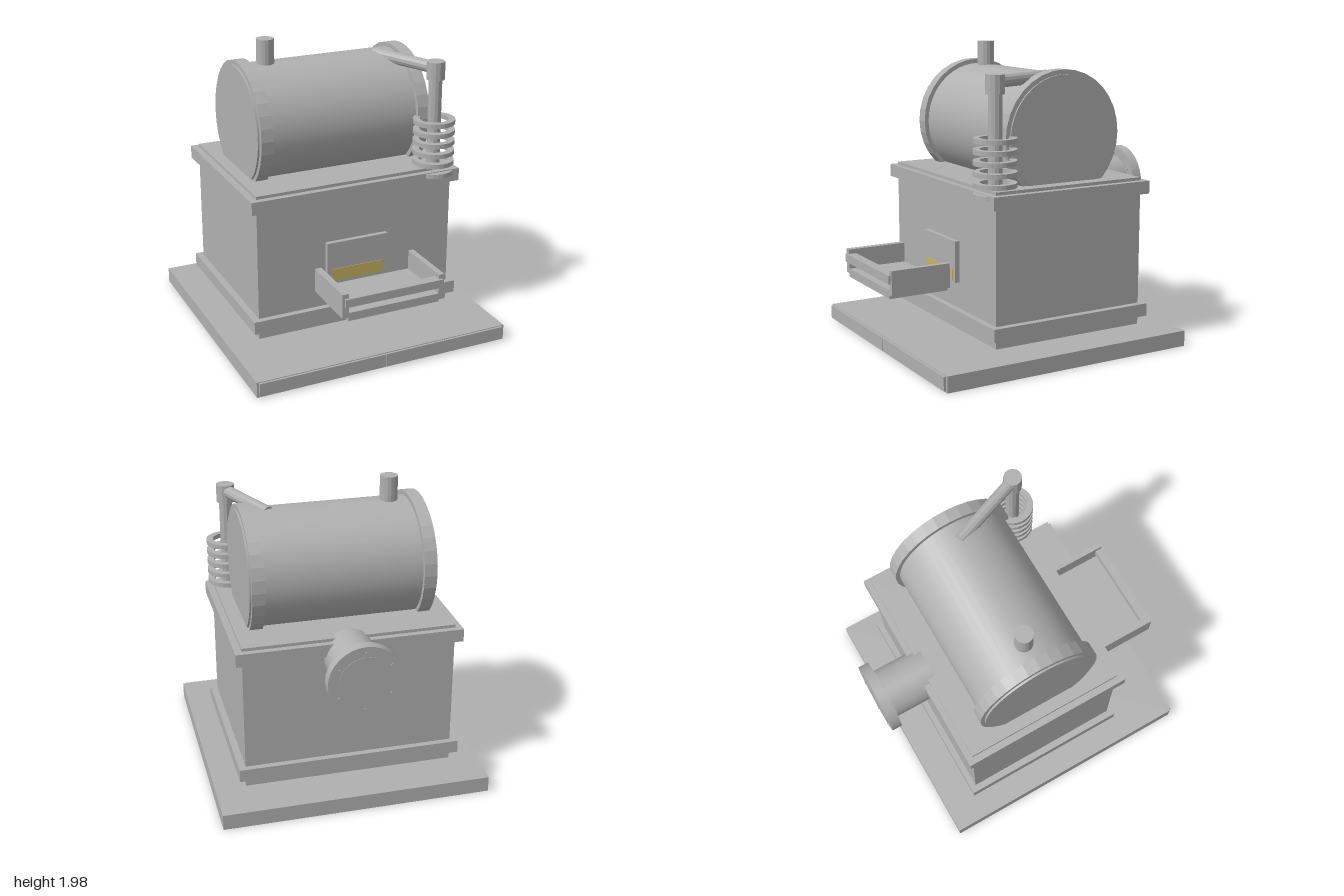
import * as THREE from 'three';

const steel = new THREE.MeshStandardMaterial({ color: 0xb0b0b0 });
steel.name = 'steel grey';
const ember = new THREE.MeshStandardMaterial({ color: 0xc9b45c });
ember.name = 'ember yellow';

export function createModel() {
  const model = new THREE.Group();
  model.name = 'boilerStill';

  function add(name, geometry, material = steel) {
    const mesh = new THREE.Mesh(geometry, material);
    mesh.name = name;
    model.add(mesh);
    return mesh;
  }

  // Box given by its minimum and maximum corners
  function box(name, [x0, y0, z0], [x1, y1, z1], material) {
    const mesh = add(name, new THREE.BoxGeometry(x1 - x0, y1 - y0, z1 - z0), material);
    mesh.position.set((x0 + x1) / 2, (y0 + y1) / 2, (z0 + z1) / 2);
    return mesh;
  }

  // Cylinder running between two points, faceted if flat
  function rod(name, from, to, radius, sides, flat = false) {
    const a = new THREE.Vector3(...from), b = new THREE.Vector3(...to);
    const dir = b.clone().sub(a);
    let geometry = new THREE.CylinderGeometry(radius, radius, dir.length(), sides);
    if (flat) {
      geometry = geometry.toNonIndexed();
      geometry.computeVertexNormals();
    }
    const mesh = add(name, geometry);
    mesh.position.copy(a).add(b).multiplyScalar(0.5);
    mesh.quaternion.setFromUnitVectors(new THREE.Vector3(0, 1, 0), dir.normalize());
    return mesh;
  }

  // Base slab with a two-piece lip along its front
  box('baseSlab', [-0.885, 0, -0.89], [0.885, 0.105, 0.885]);
  box('frontLipRight', [-0.87, 0.01, 0.88], [-0.002, 0.1, 0.9]);
  box('frontLipLeft', [0.002, 0.01, 0.88], [0.868, 0.1, 0.9]);

  // Furnace body and its two rims
  box('furnaceBody', [-0.69, 0.14, -0.645], [0.69, 1.13, 0.44]);
  for (const [name, y0, y1] of [['lowerRim', 0.2, 0.285], ['upperRim', 1.025, 1.11]]) {
    box(name, [-0.735, y0, -0.685], [0.735, y1, 0.48]);
  }

  // Furnace door with a glowing slot
  box('furnaceDoor', [-0.22, 0.46, 0.43], [0.215, 0.735, 0.472]);
  box('fireSlot', [-0.185, 0.47, 0.47], [0.185, 0.55, 0.476], ember);

  // Ash tray: floor, sides and front bar
  box('trayFloor', [-0.315, 0.45, 0.582], [0.315, 0.505, 0.985]);
  box('traySideRight', [-0.357, 0.475, 0.582], [-0.313, 0.635, 0.985]);
  box('traySideLeft', [0.313, 0.475, 0.582], [0.35, 0.635, 0.985]);
  box('trayFrontBar', [-0.34, 0.55, 0.935], [0.335, 0.605, 1.0]);

  // Boiler drum lying along x, with end bands
  const Y = 1.425, Z = -0.105;
  rod('boilerDrum', [-0.61, Y, Z], [0.603, Y, Z], 0.39, 48);
  rod('rightBand', [-0.597, Y, Z], [-0.515, Y, Z], 0.42, 32, true);
  rod('leftBand', [0.508, Y, Z], [0.592, Y, Z], 0.42, 32, true);
  rod('chimney', [-0.395, 1.75, Z], [-0.395, 1.975, Z], 0.058, 16, true);

  // Steam pipe: arm, elbow collar and downpipe
  const px = 0.587, pz = 0.387;
  rod('steamArm', [0.395, 1.79, -0.105], [px, 1.79, pz], 0.04, 12, true);
  rod('elbowCollar', [px, 1.715, pz], [px, 1.835, pz], 0.06, 12, true);
  rod('downPipe', [px, 1.07, pz], [px, 1.74, pz], 0.044, 12, true);

  // Condenser rings around the downpipe
  const section = [[0.095, -0.015], [0.138, -0.015], [0.138, 0.015], [0.095, 0.015], [0.095, -0.015]]
    .map(([x, y]) => new THREE.Vector2(x, y));
  const ring = new THREE.LatheGeometry(section, 28).toNonIndexed();
  ring.computeVertexNormals();
  for (let i = 0; i < 6; i++) {
    add('condenserRing', ring).position.set(px, 1.09 + i * 0.069, pz);
  }

  // Rear outlet with bolted flange
  const fy = 0.99;
  rod('outletPipe', [0, fy, -0.595], [0, fy, -0.998], 0.17, 32);
  rod('outletFlange', [0, fy, -0.927], [0, fy, -0.995], 0.238, 32);
  for (let i = 0; i < 6; i++) {
    const a = Math.PI / 2 + i * Math.PI / 3;
    const x = 0.19 * Math.cos(a), y = fy + 0.19 * Math.sin(a);
    rod('flangeBolt', [x, y, -0.922], [x, y, -1.0], 0.013, 6, true);
  }

  return model;
}
